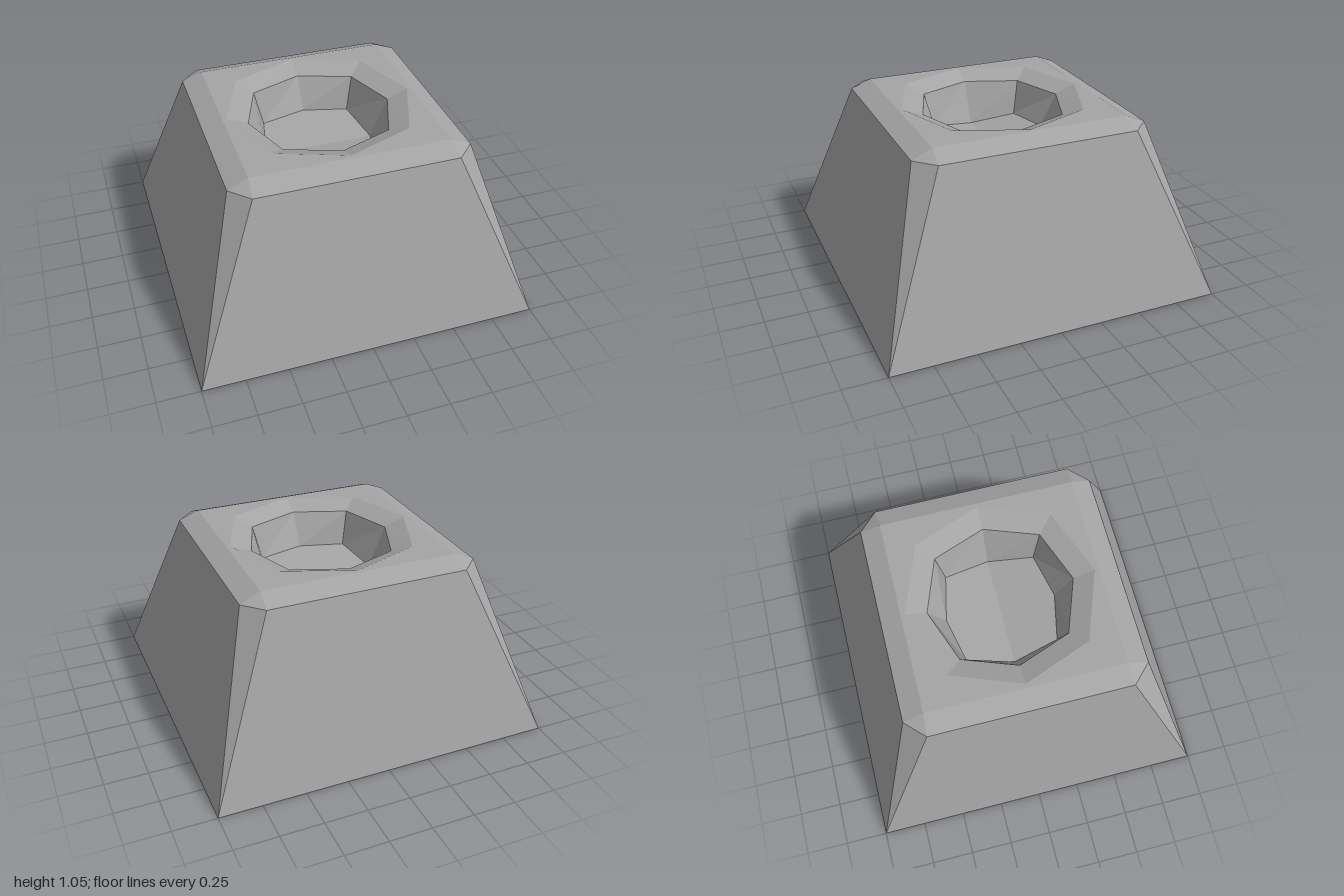
import * as THREE from 'three';

// Skin a list of rings (arrays of Vector3, counter-clockwise seen from above)
function loft(rings) {
  const pos = [];
  const tri = (a, b, c) => {
    if (a.equals(b) || b.equals(c) || c.equals(a)) return;
    for (const p of [a, b, c]) pos.push(p.x, p.y, p.z);
  };
  for (let r = 0; r < rings.length - 1; r++) {
    const lo = rings[r], hi = rings[r + 1], n = lo.length;
    for (let i = 0; i < n; i++) {
      const j = (i + 1) % n;
      tri(lo[i], lo[j], hi[j]);
      tri(lo[i], hi[j], hi[i]);
    }
  }
  const geo = new THREE.BufferGeometry();
  geo.setAttribute('position', new THREE.Float32BufferAttribute(pos, 3));
  geo.computeVertexNormals();
  return geo;
}

// Square ring with clipped corners: a = half width, b = where the clip starts
function squareRing(a, b, y) {
  const corners = [[a, b], [b, a], [-b, a], [-a, b], [-a, -b], [-b, -a], [b, -a], [a, -b]];
  return corners.map(([x, up]) => new THREE.Vector3(x, y, -up));
}

// Eight-sided ring with separate axis radius and diagonal offset
function octRing(axis, diag, height) {
  return Array.from({ length: 8 }, (_, i) => {
    const t = i * Math.PI / 4, r = i % 2 ? diag * Math.SQRT2 : axis;
    const z = -r * Math.sin(t);
    return new THREE.Vector3(r * Math.cos(t), height(z), z);
  });
}

export function createModel() {
  const group = new THREE.Group();
  const stone = new THREE.MeshStandardMaterial({ color: 0xa4a4a4, flatShading: true });
  stone.name = 'grey stone';
  const add = (name, geo) => {
    const mesh = new THREE.Mesh(geo, stone);
    mesh.name = name;
    group.add(mesh);
  };

  const top = 1.053, rim = 0.58;
  const outer = octRing(0.557, 0.405, () => top);
  const lip = octRing(0.432, 0.316, () => 1.003);
  const floor = octRing(0.33, 0.272, z => 0.757 + 0.16 * Math.abs(z));
  const centre = octRing(0, 0, () => 0.757);

  // Tapered sides with clipped corners
  add('sides', loft([squareRing(1, 1, 0), squareRing(0.7, 0.59, 1.003)]));
  // Shallow bevel round the top edge
  add('topBevel', loft([squareRing(0.7, 0.59, 1.003), squareRing(rim, rim, top)]));

  // Flat top with an eight-sided opening
  const shape = new THREE.Shape([[-rim, -rim], [rim, -rim], [rim, rim], [-rim, rim]]
    .map(([x, y]) => new THREE.Vector2(x, y)));
  shape.holes.push(new THREE.Path(outer.map(p => new THREE.Vector2(p.x, -p.z))));
  add('topFace', new THREE.ShapeGeometry(shape).rotateX(-Math.PI / 2).translate(0, top, 0));

  // Recess: sloping rim, steep walls and a gently folded floor
  add('recessRim', loft([outer, lip]));
  add('recessWall', loft([lip, floor]));
  add('recessFloor', loft([floor, centre]));

  // Underside
  add('underside', new THREE.PlaneGeometry(2, 2).rotateX(Math.PI / 2));
  return group;
}
